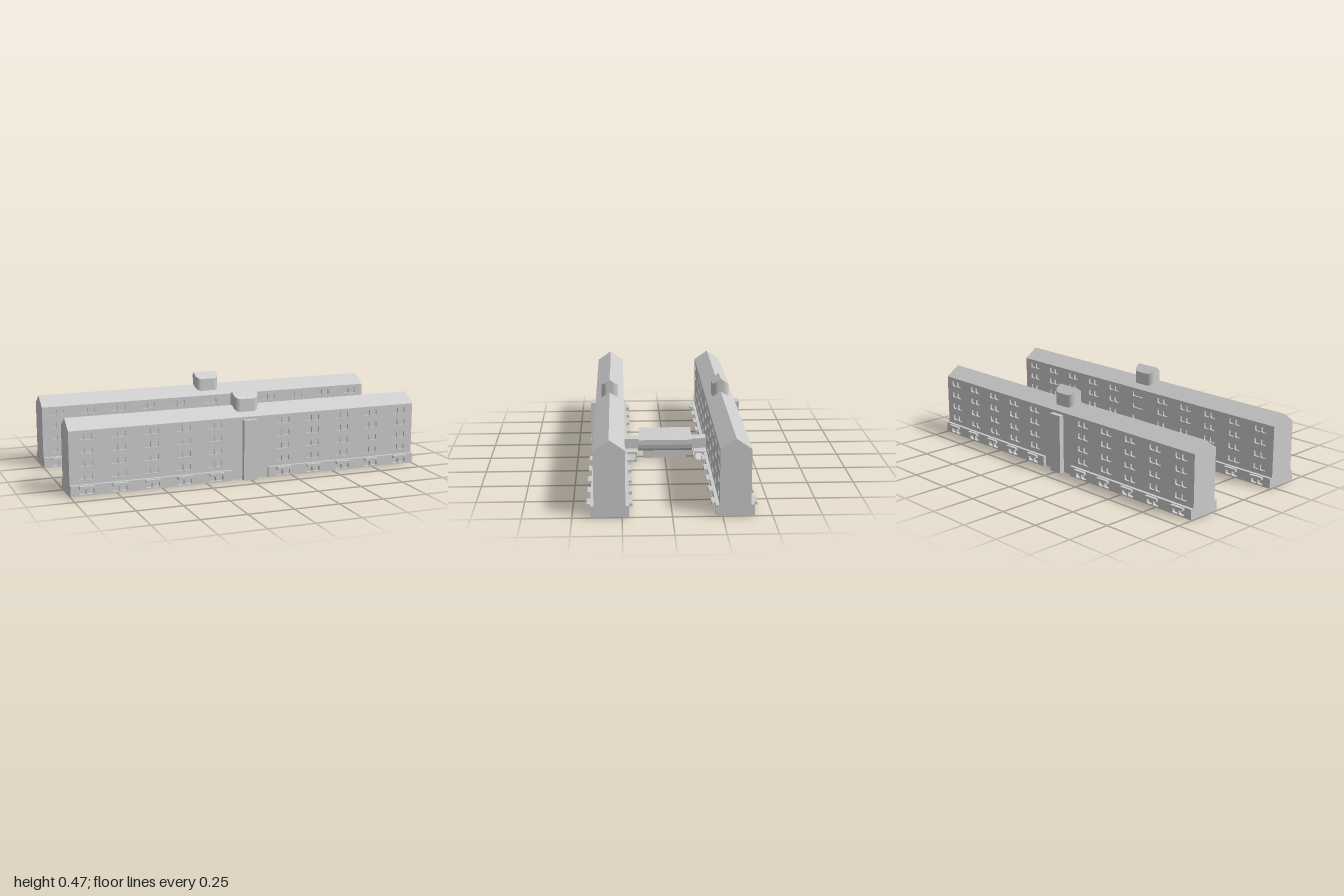
import * as THREE from 'three';

const mat = new THREE.MeshStandardMaterial({ color: 0xcccccc, flatShading: true });
const COLUMNS = [0, 1, 2, 3, 4].map((k) => 0.197 + 0.179 * k);
const ROWS = [0.1, 0.171, 0.243, 0.313];
const EAVE = 0.347, MID = 0.313, HALF = 0.079, REVEAL = 0.011;

function add(parent, name, geometry) {
  const mesh = new THREE.Mesh(geometry, mat);
  mesh.name = name;
  parent.add(mesh);
  return mesh;
}

// Box given by its limits on each axis
function block(parent, name, x0, x1, y0, y1, z0, z1) {
  const g = new THREE.BoxGeometry(x1 - x0, y1 - y0, z1 - z0);
  g.translate((x0 + x1) / 2, (y0 + y1) / 2, (z0 + z1) / 2);
  return add(parent, name, g);
}

function polygon(points) {
  return new THREE.Shape(points.map(([x, y]) => new THREE.Vector2(x, y)));
}

function rect(x0, x1, y0, y1) {
  return polygon([[x0, y0], [x1, y0], [x1, y1], [x0, y1]]);
}

function extrude(shape, depth) {
  return new THREE.ExtrudeGeometry(shape, { depth, bevelEnabled: false, curveSegments: 5 });
}

// Window with slightly clipped corners
function windowHole(cx, cy, w, h) {
  const a = w / 2, b = h / 2, c = 0.005;
  return polygon([[cx - a + c, cy - b], [cx + a - c, cy - b], [cx + a, cy - b + c], [cx + a, cy + b - c],
    [cx + a - c, cy + b], [cx - a + c, cy + b], [cx - a, cy + b - c], [cx - a, cy - b + c]]);
}

function windowPair(shape, cx, cy, h) {
  for (const s of [-1, 1]) shape.holes.push(windowHole(cx + s * 0.0215, cy, 0.037, h));
}

// One long side of a wing, modelled facing +z with the wall face at z = 0
function createFacade(inner) {
  const side = new THREE.Group();
  const wall = rect(-1, 1, 0.003, EAVE);
  for (const s of [-1, 1]) for (const x of COLUMNS) for (const y of ROWS) windowPair(wall, s * x, y, 0.033);
  if (inner) for (const y of ROWS.slice(1)) wall.holes.push(windowHole(0, y, 0.085, 0.03));
  add(side, 'windowWall', extrude(wall, REVEAL).translate(0, 0, -REVEAL));

  for (const s of [-1, 1]) {
    const plinth = s > 0 ? rect(0.108, 1, 0.003, 0.06) : rect(-1, -0.108, 0.003, 0.06);
    for (const x of COLUMNS) {
      windowPair(plinth, s * x, 0.025, 0.031);
      block(side, 'windowCanopy', s * x - 0.041, s * x + 0.041, 0.042, 0.057, 0.01, 0.036);
    }
    add(side, 'plinth', extrude(plinth, 0.018));
  }
  if (!inner) block(side, 'stairShaft', -0.04, 0.04, 0, 0.333, -0.005, 0.028);
  return side;
}

// Roof lantern: rounded plan, its top vertices lowered away from the ridge
function createLantern() {
  const lantern = new THREE.Group();
  const w = 0.07, d = 0.047, r = 0.033;
  const plan = new THREE.Shape();
  plan.moveTo(-w, 0);
  plan.lineTo(w, 0);
  plan.lineTo(w, d - r);
  plan.absarc(w - r, d - r, r, 0, Math.PI / 2, false);
  plan.lineTo(-w + r, d);
  plan.absarc(-w + r, d - r, r, Math.PI / 2, Math.PI, false);
  for (const turn of [0, Math.PI]) {
    const g = extrude(plan, 1);
    g.rotateX(-Math.PI / 2);
    const p = g.attributes.position;
    for (let i = 0; i < p.count; i++) {
      p.setY(i, p.getY(i) > 0.5 ? 0.475 - 0.74 * Math.abs(p.getZ(i)) : 0.35);
    }
    g.computeVertexNormals();
    g.rotateY(turn);
    add(lantern, 'lanternHalf', g);
  }
  return lantern;
}

function createWing() {
  const wing = new THREE.Group();
  block(wing, 'wingCore', -1, 1, 0.003, EAVE, MID - HALF + REVEAL, MID + HALF - REVEAL);

  // Gabled roof along x
  const gable = polygon([[-HALF, EAVE], [HALF, EAVE], [0, 0.402]]);
  const roof = add(wing, 'gableRoof', extrude(gable, 2).translate(0, 0, -1).rotateY(Math.PI / 2));
  roof.position.z = MID;

  const outer = createFacade(false);
  outer.name = 'outerFacade';
  outer.position.z = MID + HALF;
  const inner = createFacade(true);
  inner.name = 'innerFacade';
  inner.rotation.y = Math.PI;
  inner.position.z = MID - HALF;
  const lantern = createLantern();
  lantern.name = 'roofLantern';
  lantern.position.z = MID;
  wing.add(outer, inner, lantern);

  // Porch and enclosed link on the courtyard side
  block(wing, 'porchRoof', -0.108, 0.108, 0.05, 0.061, 0.163, MID - HALF);
  for (const s of [-1, 1]) {
    const x = s * 0.104;
    block(wing, 'porchPost', x - 0.004, x + 0.004, 0.003, 0.05, 0.163, 0.17);
    block(wing, 'porchPier', x - 0.004, x + 0.004, 0.003, 0.05, 0.214, MID - HALF);
  }
  const ramp = polygon([[-0.214, 0.003], [-0.163, 0.003], [-0.163, 0.018], [-0.214, 0.006]]);
  add(wing, 'porchRamp', extrude(ramp, 0.216).translate(0, 0, -0.108).rotateY(Math.PI / 2));
  block(wing, 'link', -0.04, 0.04, 0.061, 0.118, 0.14, MID - HALF);
  const linkRoof = polygon([[-0.04, 0.118], [0.04, 0.118], [0, 0.13]]);
  add(wing, 'linkRoof', extrude(linkRoof, 0.094).translate(0, 0, 0.14));
  return wing;
}

// Gabled passage between the two wings
function createPassage() {
  const passage = new THREE.Group();
  block(passage, 'passageBase', -0.036, 0.036, 0.003, 0.05, -0.122, 0.122);
  const hall = polygon([[-0.036, 0.048], [0.036, 0.048], [0.048, 0.062], [0.053, 0.085], [0.053, 0.116],
    [-0.053, 0.116], [-0.053, 0.085], [-0.048, 0.062]]);
  add(passage, 'passageHall', extrude(hall, 0.31).translate(0, 0, -0.155));
  const roof = polygon([[-0.057, 0.115], [0.057, 0.115], [0, 0.174]]);
  add(passage, 'passageRoof', extrude(roof, 0.296).translate(0, 0, -0.148));
  return passage;
}

export function createModel() {
  const model = new THREE.Group();
  model.name = 'twinWingBuilding';
  const front = createWing();
  front.name = 'frontWing';
  const back = createWing();
  back.name = 'backWing';
  back.rotation.y = Math.PI;
  const passage = createPassage();
  passage.name = 'connectingPassage';
  model.add(front, back, passage);
  return model;
}
